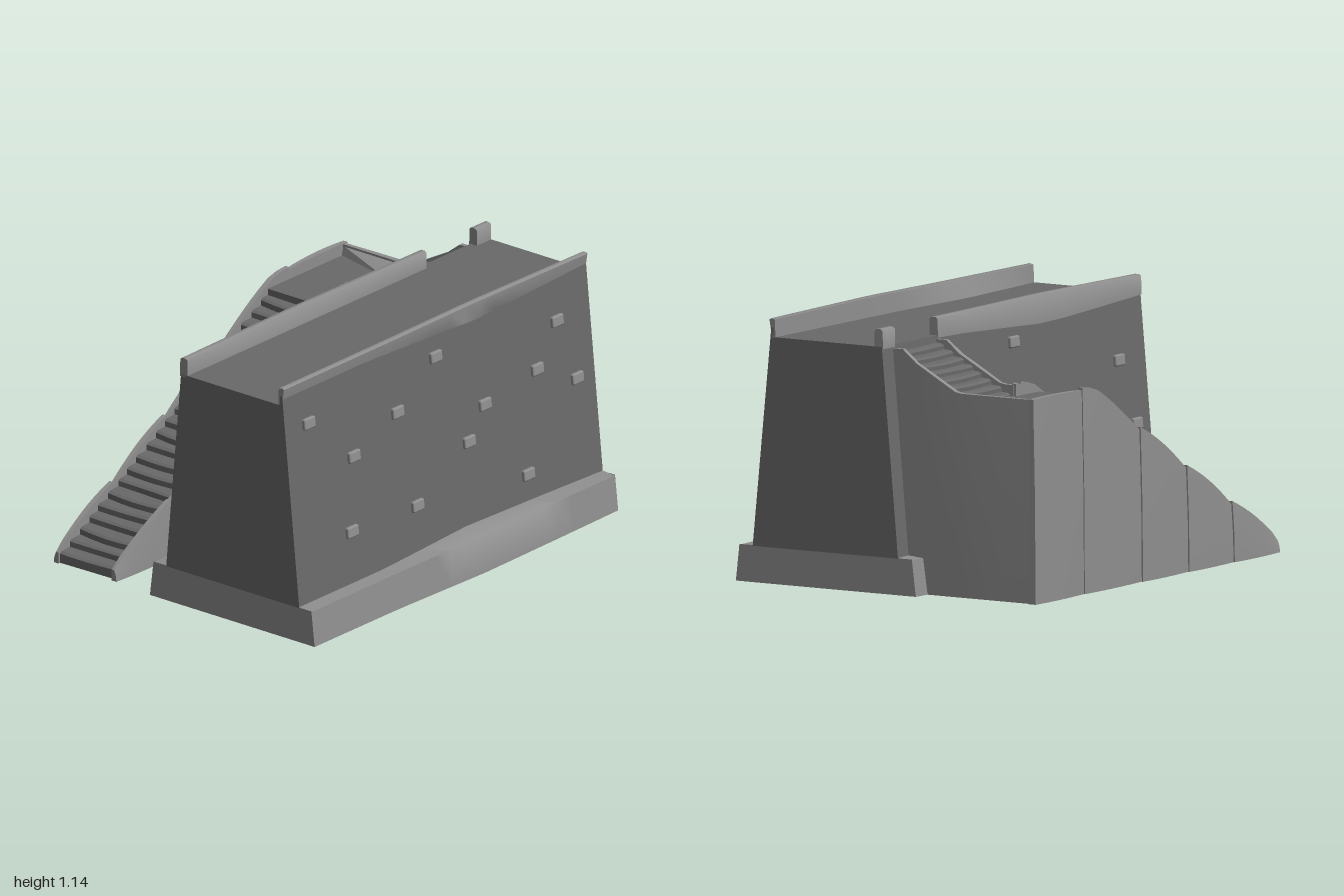
import * as THREE from 'three';
import { RoundedBoxGeometry } from 'three/addons/geometries/RoundedBoxGeometry.js';
import { toCreasedNormals } from 'three/addons/utils/BufferGeometryUtils.js';

const paint = color => new THREE.MeshStandardMaterial({ color, side: THREE.DoubleSide });
const darkStone = paint(0x696969);
const paleStone = paint(0x8e8e8e);

// Skin through matching cross-sections (lists of [x, y, z]); ring closes each section, caps close the ends
function loft(sections, { ring = true, caps = true, crease = 0.5 } = {}) {
  const n = sections[0].length;
  const index = [];
  for (let s = 0; s < sections.length - 1; s++) {
    for (let i = 0; i < (ring ? n : n - 1); i++) {
      const j = (i + 1) % n, a = s * n + i, b = s * n + j, c = a + n, d = b + n;
      index.push(a, b, c, b, d, c);
    }
  }
  if (caps) {
    const e = (sections.length - 1) * n;
    for (let i = 1; i < n - 1; i++) index.push(0, i + 1, i, e, e + i, e + i + 1);
  }
  const g = new THREE.BufferGeometry();
  g.setAttribute('position', new THREE.Float32BufferAttribute(sections.flat(2), 3));
  g.setIndex(index);
  return toCreasedNormals(g, crease);
}

// Piecewise-linear lookup through [x, value] stops
function lerpAt(stops, x) {
  for (let i = 1; i < stops.length; i++) {
    const [x0, v0] = stops[i - 1], [x1, v1] = stops[i];
    if (x <= x1) return v0 + (v1 - v0) * Math.max(0, (x - x0) / (x1 - x0));
  }
  return stops[stops.length - 1][1];
}

const range = (a, b, n) => Array.from({ length: n + 1 }, (_, i) => a + (b - a) * i / n);
const frontZ = y => 0.645 - (y - 0.155) * 0.1;
const backZ = y => -0.09 + (y - 0.155) * 0.091;

export function createModel() {
  const model = new THREE.Group();
  const add = (name, geometry, material, parent = model) => {
    const mesh = new THREE.Mesh(geometry, material);
    mesh.name = name;
    parent.add(mesh);
    return mesh;
  };

  // Tapered rampart, hollow and open underneath
  add('rampartWall', loft([-1, 1].map(x =>
    [[x, 1.055, backZ(1.055)], [x, 0.155, backZ(0.155)], [x, 0.155, frontZ(0.155)], [x, 1.055, frontZ(1.055)]]
      .reverse()).map(([a, b, c, d]) => [b, a, d, c]), { ring: false }), darkStone);
  // Upstand behind the foot of the front parapet
  add('rampartLip', loft([-1, 1].map(x =>
    [[x, 1.05, frontZ(1.05)], [x, 1.095, frontZ(1.095)], [x, 1.095, 0.54], [x, 1.05, 0.54]])), darkStone);

  // Flared footing with an uneven outer face, open below
  const frontSwell = [[-1, 0], [-0.45, 0], [0.1, 1], [0.6, 0.5], [1, 0]];
  const backSwell = [[-1, 0], [-0.45, 0], [0.1, 1], [0.6, 0.45], [1, 0]];
  const open = { ring: false, caps: false, crease: 1.3 };
  add('frontFooting', loft(range(-1, 1, 20).map(x => {
    const f = lerpAt(frontSwell, x);
    return [[x, 0, 0.73 + 0.018 * f], [x, 0.155 + 0.01 * f, 0.712 + 0.018 * f], [x, 0.16 + 0.025 * f, 0.64]];
  }), open), paleStone);
  add('backFooting', loft(range(-1, 1, 20).map(x => {
    const b = lerpAt(backSwell, x);
    return [[x, 0.16 + 0.015 * b, -0.085], [x, 0.155, -0.16 - 0.04 * b], [x, 0, -0.18 - 0.045 * b]];
  }), open), paleStone);
  for (const x of [-1, 1]) {
    add('footingEnd', loft([
      [[x, 0, -0.18], [x, 0, 0.73]], [[x, 0.158, -0.16], [x, 0.158, 0.712]],
    ].map(s => (x < 0 ? s.reverse() : s)), open), paleStone);
  }

  // Parapets with a wavy lower edge
  const dip = [[-1, 1.09], [-0.45, 1.09], [0.28, 1.055], [1, 1.09]];
  const crest = [[-1, 1.135], [-0.3, 1.138], [0.25, 1.143], [1, 1.135]];
  const innerFoot = [[-1, 0.53], [-0.9, 0.522], [-0.45, 0.503], [0.05, 0.528], [1, 0.53]];
  add('frontParapet', loft(range(-1, 1, 20).map(x => {
    const low = lerpAt(dip, x), top = lerpAt(crest, x), foot = lerpAt(innerFoot, x);
    return [[x, low, frontZ(low) + 0.002], [x, top - 0.006, 0.56], [x, top, 0.553], [x, top - 0.004, 0.532],
      [x, 1.052, foot], [x, 1.052, 0.545]];
  }), { crease: 0.9 }), paleStone);
  const backParapet = (x0, x1) => add('backParapet', loft(range(x0, x1, 8).map(x => {
    const low = lerpAt(dip, -x) - 0.045, top = lerpAt(crest, -x) - 0.004;
    return [[x, low, 0.028], [x, top - 0.008, 0.028], [x, top, 0.018], [x, top, -0.002],
      [x, top - 0.008, -0.012], [x, low, -0.014]];
  }), { crease: 0.9 }), paleStone);
  backParapet(-1, 0.575);
  backParapet(0.905, 1);

  // Protruding stones, tilted to the batter of each face and showing inside the hollow wall
  const stones = new THREE.Group();
  stones.name = 'protrudingStones';
  model.add(stones);
  const brick = new RoundedBoxGeometry(0.072, 0.05, 0.04, 2, 0.008);
  const front = [[-0.85, 0.935], [-0.58, 0.705], [-0.63, 0.385], [-0.28, 0.81], [-0.2, 0.37], [-0.01, 0.975],
    [0.16, 0.545], [0.28, 0.675], [0.52, 0.29], [0.63, 0.725], [0.78, 0.895], [0.88, 0.61]];
  const back = [[-0.89, 0.51], [-0.79, 0.79], [-0.64, 0.62], [-0.53, 0.24], [-0.28, 0.6], [-0.17, 0.5],
    [0, 0.96], [0.19, 0.29], [0.27, 0.75], [0.56, 0.68]];
  for (const [x, y] of front) {
    const m = add('frontStone', brick, paleStone, stones);
    m.position.set(x, y, frontZ(y) - 0.004);
    m.rotation.x = -0.1;
  }
  for (const [x, y] of back) {
    const m = add('backStone', brick, paleStone, stones);
    m.position.set(x, y, backZ(y) + 0.004);
    m.rotation.x = 0.09;
  }

  // Long stair side walls: bulging panels that step slightly at each seam
  const stairs = new THREE.Group();
  stairs.name = 'staircase';
  model.add(stairs);
  const wallTop = [[-0.98, 0.05], [-0.95, 0.075], [-0.62, 0.25], [-0.27, 0.445], [0.09, 0.65], [0.45, 0.855],
    [0.55, 0.872], [0.93, 0.872]];
  const sidePanel = (name, x0, x1, zOut, zIn, bulge, lift) => {
    const dir = Math.sign(zOut - zIn);
    add(name, loft(range(x0, x1, 8).map((x, i) => {
      const wave = Math.sin(Math.PI * 0.8 * i / 8);
      const z = zOut + dir * bulge * wave, top = lerpAt(wallTop, x) + lift * wave;
      return [[x, 0, z + dir * 0.008], [x, top * 0.5, z + dir * 0.005], [x, top, z - dir * 0.004],
        [x, top, zIn], [x, 0, zIn]];
    })), paleStone, stairs);
  };
  const seams = [-0.98, -0.62, -0.27, 0.09, 0.54];
  for (let i = 0; i < 4; i++) {
    sidePanel('outerStairWall', seams[i], seams[i + 1], -0.72, -0.703, 0.011, 0.018);
    sidePanel('innerStairWall', seams[i], seams[i + 1], -0.39, -0.408, 0.009, 0.018);
  }
  sidePanel('towerBackWall', 0.54, 0.925, -0.722, -0.703, 0.012, 0.006);
  sidePanel('towerFrontWall', 0.54, 0.575, -0.39, -0.408, 0.003, 0.01);

  // Side walls of the upper flight; the outer one also closes the landing
  const flightTop = [[0, 1.04], [0.06, 1.04], [0.13, 0.985], [0.33, 0.878], [0.36, 0.873], [0.73, 0.873]];
  const flightWall = (name, x0, x1, end, bow) => add(name, loft(
    [0, 0.06, 0.13, 0.2, 0.26, 0.33, 0.36, 0.4, 0.55, 0.72].filter(d => d <= end).map(d => {
      const top = lerpAt(flightTop, d), b = bow * Math.sin(Math.PI * d / end);
      return [[x0, 0, -d], [x0, top, -d], [x1 + b, top, -d], [x1 + b * 1.5, top * 0.5, -d], [x1, 0, -d]];
    })), paleStone, stairs);
  flightWall('upperStairOuterWall', 0.897, 0.915, 0.72, 0.008);
  flightWall('upperStairInnerWall', 0.582, 0.565, 0.4, -0.008);

  // Landing and its corner fillet
  const landing = add('landing', new THREE.BoxGeometry(0.51, 0.04, 0.335), darkStone, stairs);
  landing.position.set(0.655, 0.805, -0.55);
  add('landingFillet', loft([
    [[0.9, 0.865, -0.385], [0.81, 0.822, -0.385], [0.9, 0.82, -0.385]],
    [[0.9, 0.865, -0.705], [0.888, 0.827, -0.705], [0.9, 0.82, -0.705]],
  ]), paleStone, stairs);

  // Worn steps, each slightly skewed and bowed
  const step = (name, width, depth, k) => {
    const bow = 0.008 * Math.sin(k * 2.3), skew = 0.009 * Math.sin(k * 1.7 + 1);
    return add(name, loft(range(-width / 2, width / 2, 4).map((z, i) => {
      const o = bow * Math.sin(Math.PI * i / 4) + skew * z / width;
      const sag = -0.004 * Math.sin(Math.PI * i / 4);
      return [[-depth / 2 + o, -0.05, z], [-depth / 2 + o, -0.008 + sag, z], [-depth / 2 + 0.012 + o, sag, z],
        [depth / 2 + 0.012, 0.004 + sag, z], [depth / 2 + 0.012, -0.05, z]];
    })), darkStone, stairs);
  };
  const count = 22, run = 1.38 / count;
  for (let i = 0; i < count; i++) {
    step('lowerStep', 0.305, run, i).position.set(-0.965 + (i + 0.5) * run, 0.05 + i * 0.0355, -0.557);
  }
  const upper = 8, upperRun = 0.38 / upper;
  for (let i = 0; i < upper; i++) {
    const s = step('upperStep', 0.32, upperRun, i + 5);
    s.rotation.y = -Math.PI / 2;
    s.position.set(0.74, 0.838 + i * 0.0265, -0.385 + (i + 0.5) * upperRun);
  }

  return model;
}
